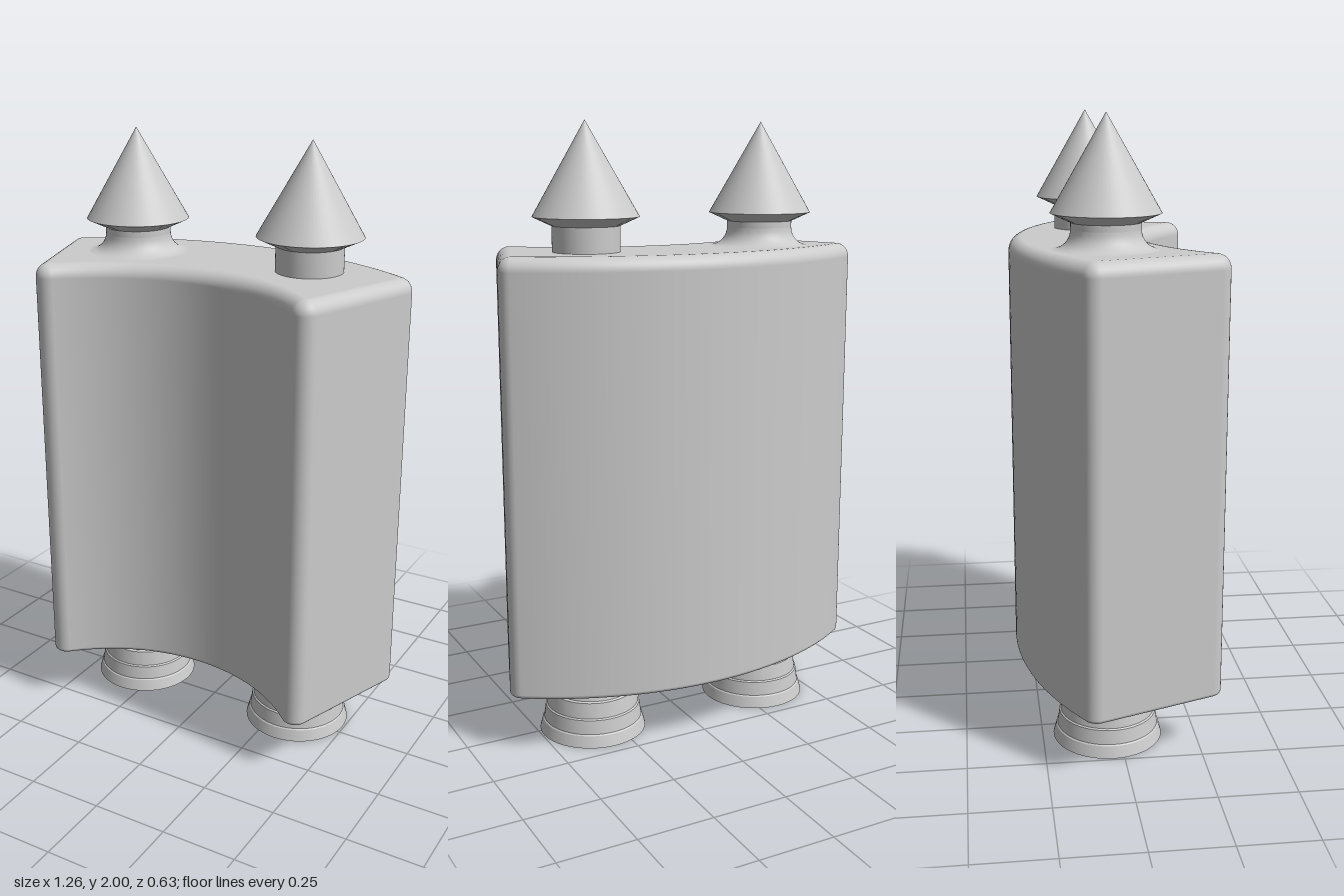
import * as THREE from 'three';
import { toCreasedNormals } from 'three/addons/utils/BufferGeometryUtils.js';

const material = new THREE.MeshStandardMaterial({ color: 0xcccccc });

// Curved block: a bent plan outline swept upwards with rounded edges
function bodyGeometry() {
  const plan = []; // [x, z, outward angle]
  const arc = (cz, r, a0, a1, sign, n) => {
    for (let i = 0; i <= n; i++) {
      const a = a0 + (a1 - a0) * i / n;
      plan.push([sign * r * Math.cos(a), cz + sign * r * Math.sin(a), a]);
    }
  };
  const corner = (x, z, a0, a1, n = 10) => {
    for (let i = 0; i <= n; i++) plan.push([x, z, a0 + (a1 - a0) * i / n]);
  };
  const PI = Math.PI, side = 0.34, back = -0.989, front = PI / 2 + 0.772;
  corner(0.585, -0.1, back, side);
  corner(0.455, 0.268, side, front);
  arc(0.735, 0.652, front, PI - front, -1, 32);
  corner(-0.455, 0.268, PI - front, PI - side);
  corner(-0.585, -0.1, PI - side, PI - back);
  arc(0.79, 1.065, PI - back, 2 * PI + back, 1, 40);

  // Rows of the edge profile: offset, height, tilt of the normal
  const rows = [];
  for (let i = 0; i <= 5; i++) {
    const t = -PI / 2 * (1 - i / 5);
    rows.push([0.03 + 0.015 * Math.cos(t), 0.21 + 0.015 * Math.sin(t), t]);
  }
  for (let i = 0; i <= 8; i++) {
    const t = PI / 2 * i / 8;
    rows.push([0.003 + 0.042 * Math.cos(t), 1.555 + 0.045 * Math.sin(t), t]);
  }

  const position = [], normal = [], index = [], n = plan.length;
  for (const [d, y, t] of rows) {
    for (const [x, z, a] of plan) {
      position.push(x + d * Math.cos(a), y, z + d * Math.sin(a));
      normal.push(Math.cos(t) * Math.cos(a), Math.sin(t), Math.cos(t) * Math.sin(a));
    }
  }
  for (let r = 0; r < rows.length - 1; r++) {
    for (let i = 0; i < n; i++) {
      const a = r * n + i, b = r * n + (i + 1) % n;
      index.push(a, a + n, b, b, a + n, b + n);
    }
  }
  // Flat bottom and top
  const cap = (row, flip) => {
    const d = rows[row][0];
    const loop = plan.map(([x, z, a]) => new THREE.Vector2(x + d * Math.cos(a), z + d * Math.sin(a)));
    for (const [a, b, c] of THREE.ShapeUtils.triangulateShape(loop, [])) {
      const o = row * n;
      index.push(o + a, o + (flip ? c : b), o + (flip ? b : c));
    }
  };
  cap(0, false);
  cap(rows.length - 1, true);

  const geometry = new THREE.BufferGeometry();
  geometry.setAttribute('position', new THREE.Float32BufferAttribute(position, 3));
  geometry.setAttribute('normal', new THREE.Float32BufferAttribute(normal, 3));
  geometry.setIndex(index);
  return geometry;
}

function turned(points, crease) {
  const profile = points.map(([r, y]) => new THREE.Vector2(r, y));
  return toCreasedNormals(new THREE.LatheGeometry(profile, 64), crease);
}

export function createModel() {
  const model = new THREE.Group();
  const add = (name, geometry, x = 0, z = 0) => {
    const mesh = new THREE.Mesh(geometry, material);
    mesh.name = name;
    mesh.position.set(x, 0, z);
    model.add(mesh);
  };

  add('body', bodyGeometry());

  const spike = turned([[0.107, 1.59], [0.107, 1.68], [0.168, 1.708], [0, 2]], 0.4);

  // Hollow nozzle: inner wall downwards, rim, then stepped outside upwards
  const nozzle = turned([
    [0, 0.185], [0.112, 0.185], [0.125, 0.145], [0.14, 0.09], [0.153, 0.04], [0.167, 0],
    [0.178, 0], [0.168, 0.038], [0.164, 0.042], [0.158, 0.088], [0.153, 0.092],
    [0.146, 0.143], [0.139, 0.147], [0.127, 0.2],
  ], 0.4);

  for (const [side, x] of [['left', 0.316], ['right', -0.316]]) {
    add(side + 'Spike', spike, x, -0.04);
    add(side + 'Nozzle', nozzle, x, -0.036);
  }

  // Blended collar at the foot of the right spike
  const collar = [];
  for (let i = 0; i <= 8; i++) {
    const a = Math.PI / 2 * i / 8;
    collar.push([0.165 - 0.058 * Math.sin(a), 1.66 - 0.06 * Math.cos(a)]);
  }
  add('rightCollar', turned(collar, 0.8), -0.316, -0.04);
  return model;
}
